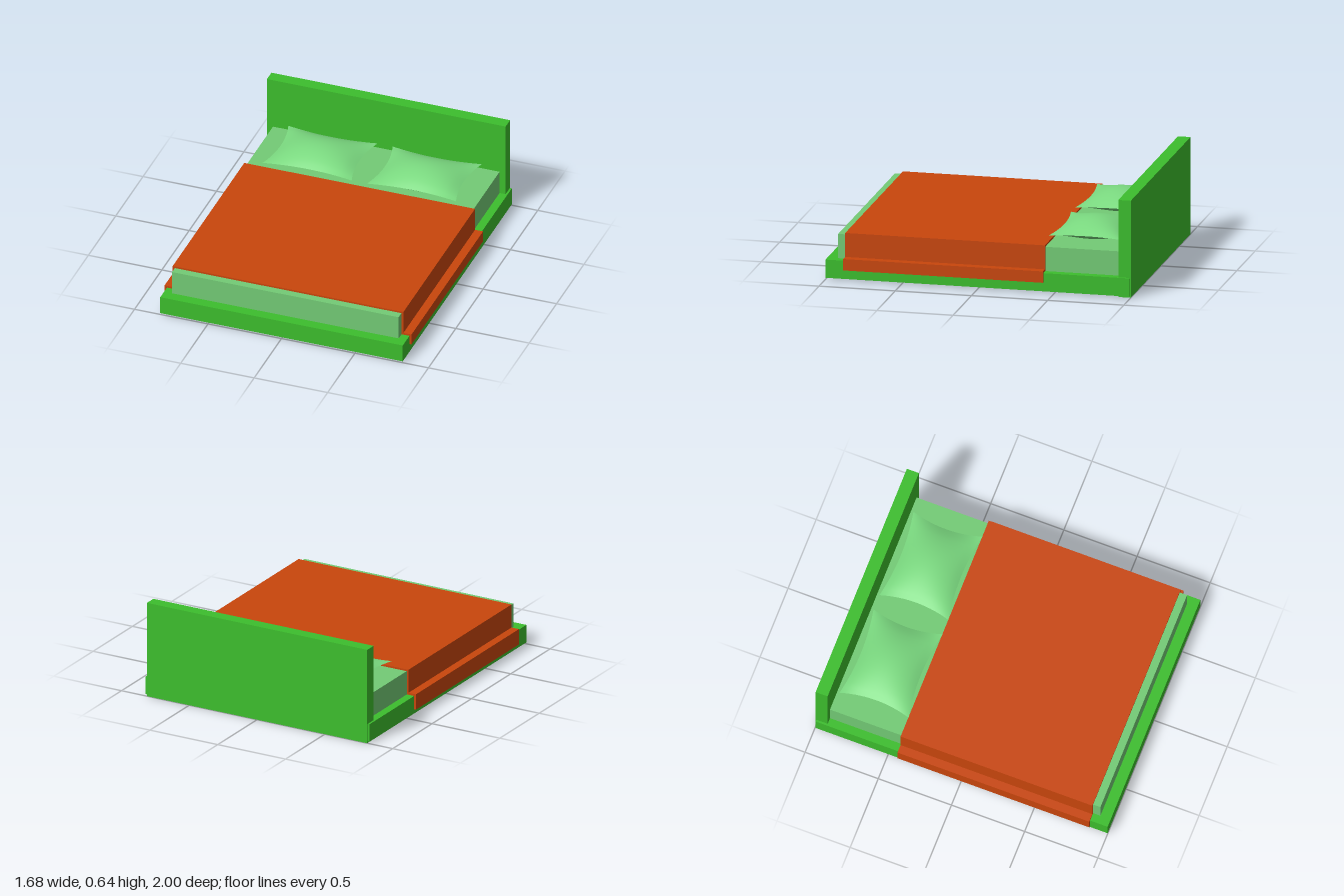
import * as THREE from 'three';

const mat = (name, color) => Object.assign(new THREE.MeshStandardMaterial({ color }), { name });

export function createModel() {
  const bed = new THREE.Group();
  bed.name = 'bed';
  const frameGreen = mat('frame green', 0x3cbe2d);
  const sheetGreen = mat('sheet green', 0x73cb75);
  const pillowGreen = mat('pillow green', 0x7bda80);
  const blanketOrange = mat('blanket orange', 0xc9460c);

  const add = (name, geometry, material, parent = bed) => {
    const mesh = new THREE.Mesh(geometry, material);
    mesh.name = name;
    parent.add(mesh);
    return mesh;
  };
  // Box given by half width, y range and z range
  const box = (name, hw, y0, y1, z0, z1, material) =>
    add(name, new THREE.BoxGeometry(hw * 2, y1 - y0, z1 - z0), material)
      .position.set(0, (y0 + y1) / 2, (z0 + z1) / 2);

  box('bedBase', 0.825, 0.01, 0.13, -0.995, 1, frameGreen);
  box('headboard', 0.812, 0, 0.64, -1, -0.918, frameGreen);
  box('mattress', 0.771, 0.13, 0.29, -0.918, 0.93, sheetGreen);

  // Blanket: stepped cross-section draped over mattress and base
  const rightHem = 0.04, leftHem = 0.07;
  const profile = [
    [-0.84, rightHem], [-0.827, rightHem], [-0.827, 0.132], [-0.773, 0.132], [-0.773, 0.291],
    [0.773, 0.291], [0.773, 0.132], [0.827, 0.132], [0.827, leftHem], [0.84, leftHem],
    [0.84, 0.145], [0.785, 0.145], [0.785, 0.303], [-0.785, 0.303], [-0.785, 0.145], [-0.84, 0.145],
  ];
  const shape = new THREE.Shape(profile.map(([x, y]) => new THREE.Vector2(x, y)));
  add('blanket', new THREE.ExtrudeGeometry(shape, { depth: 1.31, bevelEnabled: false }), blanketOrange)
    .position.z = -0.43;

  // Pillow half: a grid with pinched sides and a bulging middle
  const pillowHalf = (side) => {
    const g = new THREE.PlaneGeometry(2, 2, 14, 14);
    g.rotateX(-side * Math.PI / 2);
    const p = g.attributes.position;
    for (let i = 0; i < p.count; i++) {
      const u = p.getX(i), v = p.getZ(i);
      const a = Math.max(0, 1 - u * u), b = Math.max(0, 1 - v * v);
      p.setXYZ(i, 0.303 * u * (1 - 0.12 * b), side * 0.067 * Math.pow(a * b, 0.9), 0.236 * v * (1 - 0.13 * a));
    }
    g.computeVertexNormals();
    return g;
  };
  for (const [name, x] of [['rightPillow', -0.355], ['leftPillow', 0.355]]) {
    const pillow = new THREE.Group();
    pillow.name = name;
    pillow.position.set(x, 0.335, -0.66);
    add('pillowTop', pillowHalf(1), pillowGreen, pillow);
    add('pillowUnderside', pillowHalf(-1), pillowGreen, pillow);
    bed.add(pillow);
  }
  return bed;
}
